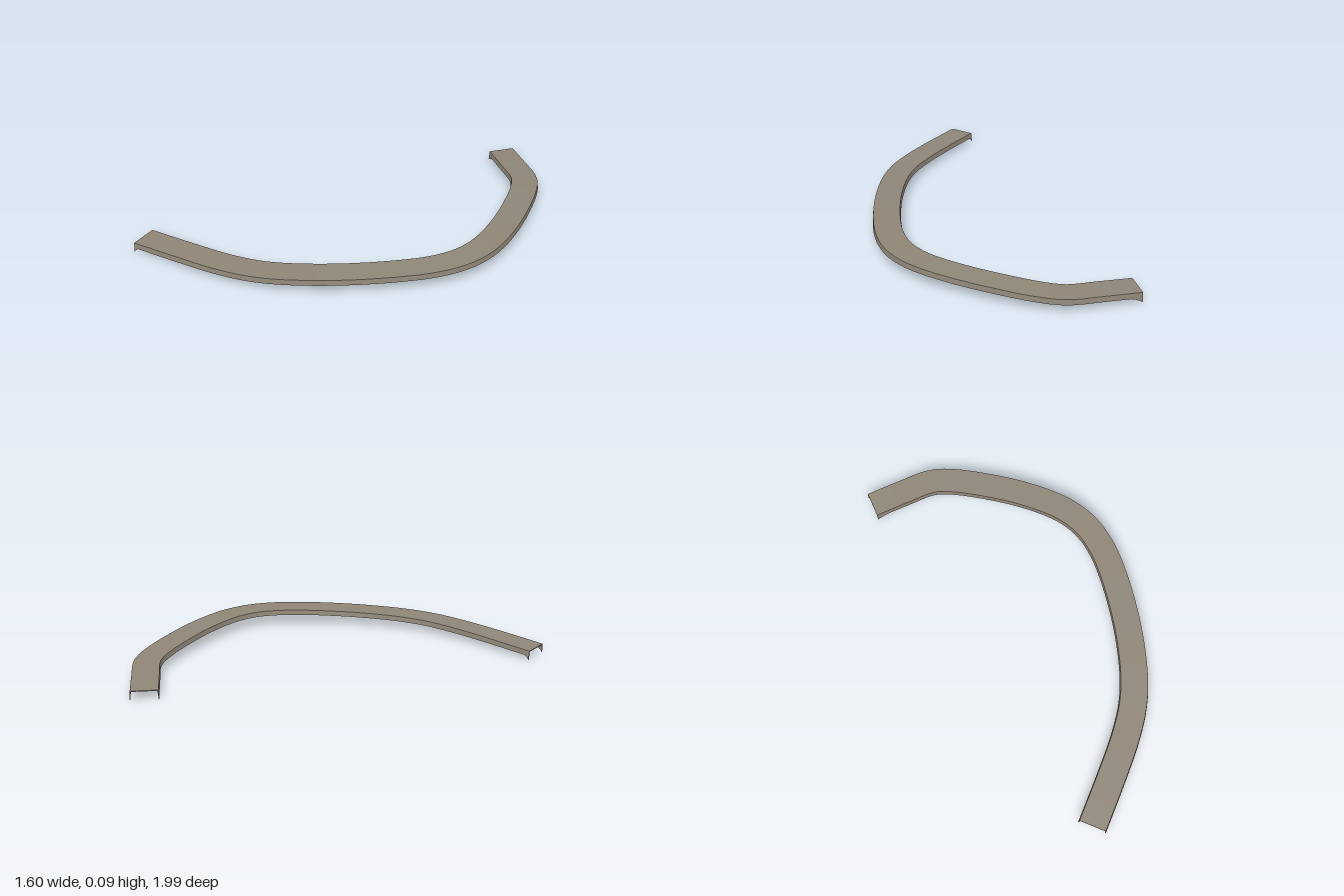
import * as THREE from 'three';
import { mergeGeometries } from 'three/addons/utils/BufferGeometryUtils.js';

// Centre line of the strip's top face, from the back end to the front end
const path = new THREE.CatmullRomCurve3([
  [0.285, 0.06, -0.938], [0.42, 0.068, -0.825], [0.555, 0.075, -0.705], [0.61, 0.08, -0.6],
  [0.672, 0.088, -0.39], [0.71, 0.093, -0.2], [0.725, 0.095, -0.03], [0.718, 0.095, 0.08],
  [0.683, 0.094, 0.2], [0.605, 0.092, 0.325], [0.48, 0.09, 0.455], [0.25, 0.085, 0.64],
  [0.02, 0.079, 0.78], [-0.13, 0.074, 0.84], [-0.3, 0.069, 0.875], [-0.5, 0.064, 0.895],
  [-0.79, 0.055, 0.915],
].map((p) => new THREE.Vector3(...p)), false, 'centripetal');
path.arcLengthDivisions = 600;

// Channel section: [offset towards the outside, depth below the top, 1 if on a wall's lower edge]
const section = [
  [0.075, 0, 1], [0.071, 0, 0], [-0.071, 0, 0], [-0.075, 0, 1],
  [-0.070, 0, 1], [-0.066, 0.005, 0], [0.066, 0.005, 0], [0.070, 0, 1],
];

// Stations along the path, with extra ones where the wall ends point down
function stations() {
  const list = [0, 0.007, 0.014, 0.021];
  for (let i = 2; i < 71; i++) list.push(i / 71);
  return list.concat([0.992, 0.996, 1]);
}

function ring(u, length) {
  const p = path.getPointAt(u);
  const t = path.getTangentAt(u);
  const out = new THREE.Vector3(t.z, 0, -t.x).normalize();
  const tip = Math.max(0, 1 - (u * length) / 0.05, 1 - ((1 - u) * length) / 0.02);
  const depth = 0.028 + 0.022 * tip;
  return section.map(([side, down, low]) => {
    const q = p.clone().addScaledVector(out, side);
    q.y -= low ? depth : down;
    return q;
  });
}

// Smooth surface along a list of two-point rows
function band(rows) {
  const positions = [];
  const index = [];
  rows.forEach(([a, b], i) => {
    positions.push(...a.toArray(), ...b.toArray());
    if (i) {
      const k = 2 * (i - 1);
      index.push(k, k + 1, k + 2, k + 1, k + 3, k + 2);
    }
  });
  const g = new THREE.BufferGeometry();
  g.setAttribute('position', new THREE.Float32BufferAttribute(positions, 3));
  g.setIndex(index);
  g.computeVertexNormals();
  return g;
}

export function createModel() {
  const group = new THREE.Group();
  const material = new THREE.MeshStandardMaterial({ color: 0x8f8677 });
  material.name = 'warm grey';

  const length = path.getLength();
  const rings = stations().map((u) => ring(u, length));
  const parts = [];

  // Long faces: each is its own band so the edges stay sharp
  for (let j = 0; j < section.length; j++) {
    parts.push(band(rings.map((r) => [r[j], r[(j + 1) % section.length]])));
  }

  // End faces of the two walls and the top plate
  const first = rings[0];
  const last = rings[rings.length - 1];
  for (const [a, b, c, d] of [[0, 1, 6, 7], [1, 2, 5, 6], [2, 3, 4, 5]]) {
    parts.push(band([[last[a], last[b]], [last[d], last[c]]]));
    parts.push(band([[first[b], first[a]], [first[c], first[d]]]));
  }

  const strip = new THREE.Mesh(mergeGeometries(parts), material);
  strip.name = 'curvedTrimStrip';
  group.add(strip);
  return group;
}
